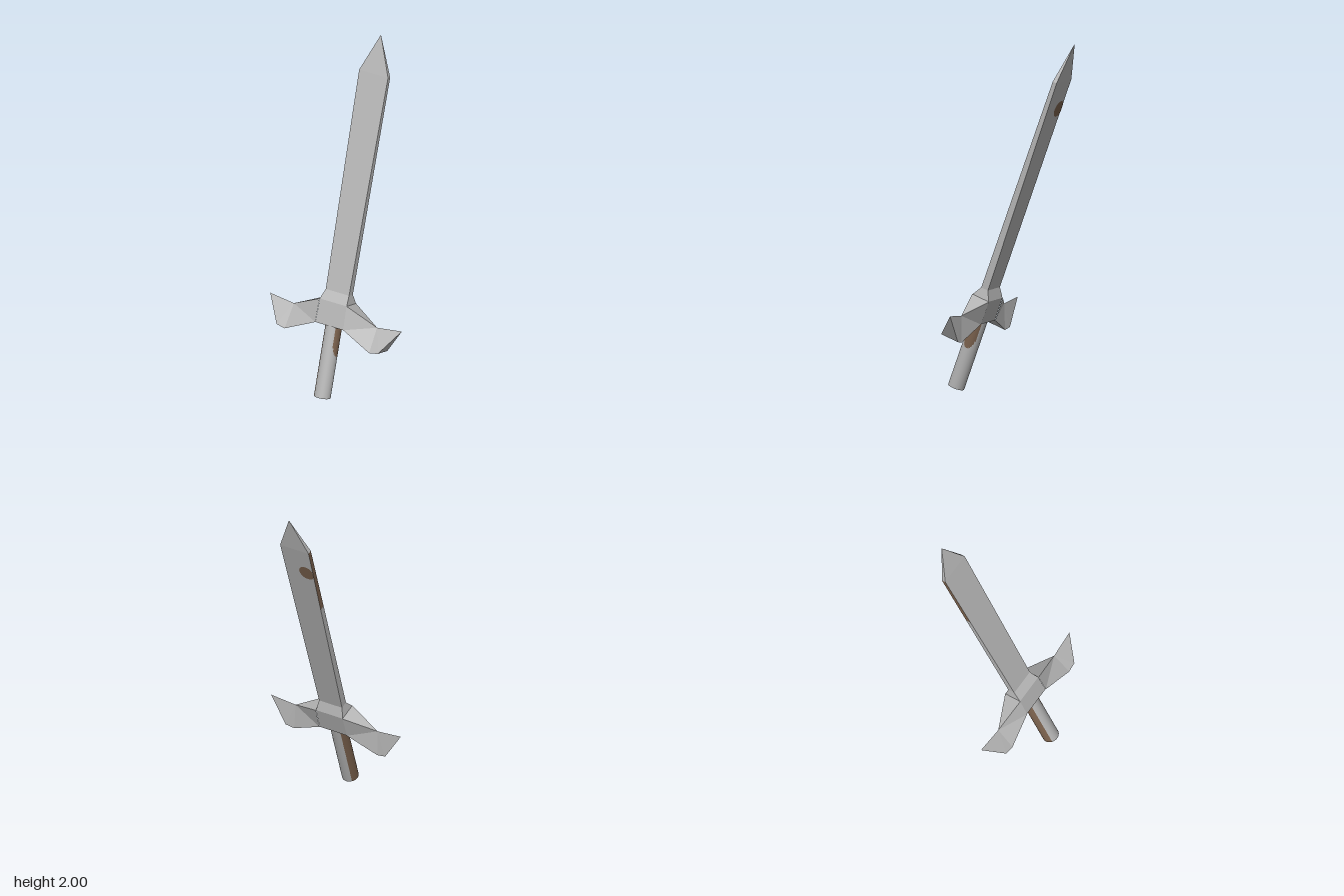
import * as THREE from 'three';

const steel = new THREE.MeshStandardMaterial({ color: 0xb2b2b2 });
steel.name = 'steel';
const rust = new THREE.MeshStandardMaterial({ color: 0x79604c });
rust.name = 'rust';

// Convex flat-faced solid; every face is a loop of points, turned to face outward
function solid(name, faces, material) {
  const all = faces.flat();
  const centre = all.reduce((c, p) => c.add(new THREE.Vector3(...p)), new THREE.Vector3()).divideScalar(all.length);
  const pos = [];
  for (const face of faces) {
    for (let i = 1; i < face.length - 1; i++) {
      const [a, b, c] = [face[0], face[i], face[i + 1]].map((p) => new THREE.Vector3(...p));
      const tri = new THREE.Triangle(a, b, c);
      const out = tri.getNormal(new THREE.Vector3()).dot(tri.getMidpoint(new THREE.Vector3()).sub(centre)) > 0;
      for (const p of out ? [a, b, c] : [a, c, b]) pos.push(p.x, p.y, p.z);
    }
  }
  const geo = new THREE.BufferGeometry();
  geo.setAttribute('position', new THREE.Float32BufferAttribute(pos, 3));
  geo.computeVertexNormals();
  const mesh = new THREE.Mesh(geo, material);
  mesh.name = name;
  return mesh;
}

// Rectangular section: half thickness t, height y, half width w
const section = (t, y, w) => [[t, y, w], [t, y, -w], [-t, y, -w], [-t, y, w]];
// Side faces between two sections; side 1 is the back edge
const sides = (a, b) => a.map((p, i) => [p, a[(i + 1) % 4], b[(i + 1) % 4], b[i]]);

function makeBlade() {
  const blade = new THREE.Group();
  blade.name = 'blade';
  const base = section(0.022, 0.612, 0.075);
  const mid = section(0.016, 1.42, 0.0865);
  const shoulder = section(0.0125, 1.883, 0.093);
  const tip = [0, 2.109, 0];
  const upper = sides(mid, shoulder);
  const point = shoulder.map((p, i) => [p, shoulder[(i + 1) % 4], tip]);
  blade.add(solid('bladeLower', sides(base, mid), steel));
  blade.add(solid('bladeUpper', upper.filter((f, i) => i !== 1), steel));
  blade.add(solid('bladePoint', point, steel));

  // Stained back edge, facing -z
  const [a, b, c, d] = upper[1];
  const edge = solid('edgeStain', [[a, b, c, d], [[0, 1.6, 0], [0, 1.6, 0], [0, 1.6, 0]]], rust);
  edge.geometry.setDrawRange(0, 6);
  blade.add(edge);

  // Round spot, cut off at the blade edge
  const spot = new THREE.Shape();
  for (let i = 0; i < 32; i++) {
    const q = (i / 32) * Math.PI * 2;
    const x = Math.min(0.049 + 0.048 * Math.cos(q), 0.09);
    const y = 1.708 + 0.048 * Math.sin(q);
    if (i) spot.lineTo(x, y); else spot.moveTo(x, y);
  }
  const disc = new THREE.Mesh(new THREE.ShapeGeometry(spot), rust);
  disc.name = 'bladeSpot';
  disc.rotation.y = Math.PI / 2;
  disc.position.x = 0.0155;
  blade.add(disc);
  return blade;
}

function makeGuard() {
  const guard = new THREE.Group();
  guard.name = 'guard';
  const low = section(0.053, 0.42, 0.09);
  const high = section(0.053, 0.558, 0.087);
  const collar = section(0.022, 0.612, 0.075);
  guard.add(solid('hub', [low, ...sides(low, high).filter((f, i) => i % 2 === 0)], steel));
  guard.add(solid('collar', sides(high, collar), steel));

  // Two mirrored arms, each swelling downward and ending in an upturned tip
  for (const m of [1, -1]) {
    const ridge = [0, 0.474, 0.268 * m];
    const tip = [0, 0.493, 0.424 * m];
    const pair = (y, w) => [[0.055, y, w * m], [-0.055, y, w * m]];
    const rootLow = pair(0.42, 0.09);
    const rootHigh = pair(0.558, 0.087);
    const inner = pair(0.335, 0.272);
    const outer = pair(0.345, 0.326);
    const root = [[...rootHigh, ridge], [rootLow[0], rootLow[1], inner[1], inner[0]]];
    const end = [[...outer, tip]];
    for (const k of [0, 1]) {
      root.push([rootLow[k], rootHigh[k], ridge], [rootLow[k], ridge, inner[k]]);
      end.push([ridge, inner[k], outer[k]], [ridge, outer[k], tip]);
    }
    guard.add(solid('guardArm', root, steel));
    guard.add(solid('guardTip', end, steel));
    const under = new THREE.BufferGeometry().setFromPoints(
      [inner[0], inner[1], outer[1], outer[0]].map((p) => new THREE.Vector3(...p)));
    under.setIndex(m > 0 ? [0, 2, 1, 0, 3, 2] : [0, 1, 2, 0, 2, 3]);
    under.computeVertexNormals();
    // Keep the underside facing down
    if (under.attributes.normal.getY(0) > 0) {
      under.setIndex(m > 0 ? [0, 1, 2, 0, 2, 3] : [0, 2, 1, 0, 3, 2]);
      under.computeVertexNormals();
    }
    const plate = new THREE.Mesh(under, m > 0 ? steel : rust);
    plate.name = 'tipUnderside';
    guard.add(plate);
  }
  return guard;
}

function makeGrip() {
  const grip = new THREE.Group();
  grip.name = 'grip';
  const R = 0.047, TOP = 0.43;
  // Piece of the grip wall between two angles (degrees from the front) and two heights
  const wall = (name, material, from, to, y0, y1) => {
    const n = Math.max(1, Math.round((to - from) / 8));
    const geo = new THREE.CylinderGeometry(R, R, y1 - y0, n, 1, true,
      THREE.MathUtils.degToRad(from), THREE.MathUtils.degToRad(to - from));
    geo.translate(0, (y0 + y1) / 2, 0);
    const mesh = new THREE.Mesh(geo, material);
    mesh.name = name;
    grip.add(mesh);
  };
  wall('gripSide', steel, 48, 132, 0, TOP);
  wall('gripBack', rust, 132, 228, 0, TOP);
  wall('gripSide', steel, 228, 312, 0, TOP);
  // Front with a round-bottomed stain below the guard
  for (let a = -48; a < 48; a += 8) {
    const k = (a + 4) / 48;
    const y = 0.33 - 0.085 * Math.sqrt(1 - k * k);
    wall('gripFront', steel, a, a + 8, 0, y);
    wall('gripStain', rust, a, a + 8, y, TOP);
  }
  const cap = new THREE.Mesh(new THREE.CircleGeometry(R, 45), rust);
  cap.name = 'pommelCap';
  cap.rotation.x = Math.PI / 2;
  grip.add(cap);
  return grip;
}

export function createModel() {
  const model = new THREE.Group();
  model.name = 'sword';
  const sword = new THREE.Group();
  sword.name = 'leaningSword';
  sword.add(makeBlade(), makeGuard(), makeGrip());

  // Lean the sword: y runs along the blade, z along the guard
  const along = new THREE.Vector3(0.323, 0.94, -0.106).normalize();
  const flat = new THREE.Vector3().crossVectors(along, new THREE.Vector3(0.256, 0.017, 0.966)).normalize();
  const across = new THREE.Vector3().crossVectors(flat, along);
  sword.quaternion.setFromRotationMatrix(new THREE.Matrix4().makeBasis(flat, along, across));
  sword.position.set(-0.322, 0.016, 0.053);
  model.add(sword);
  return model;
}
